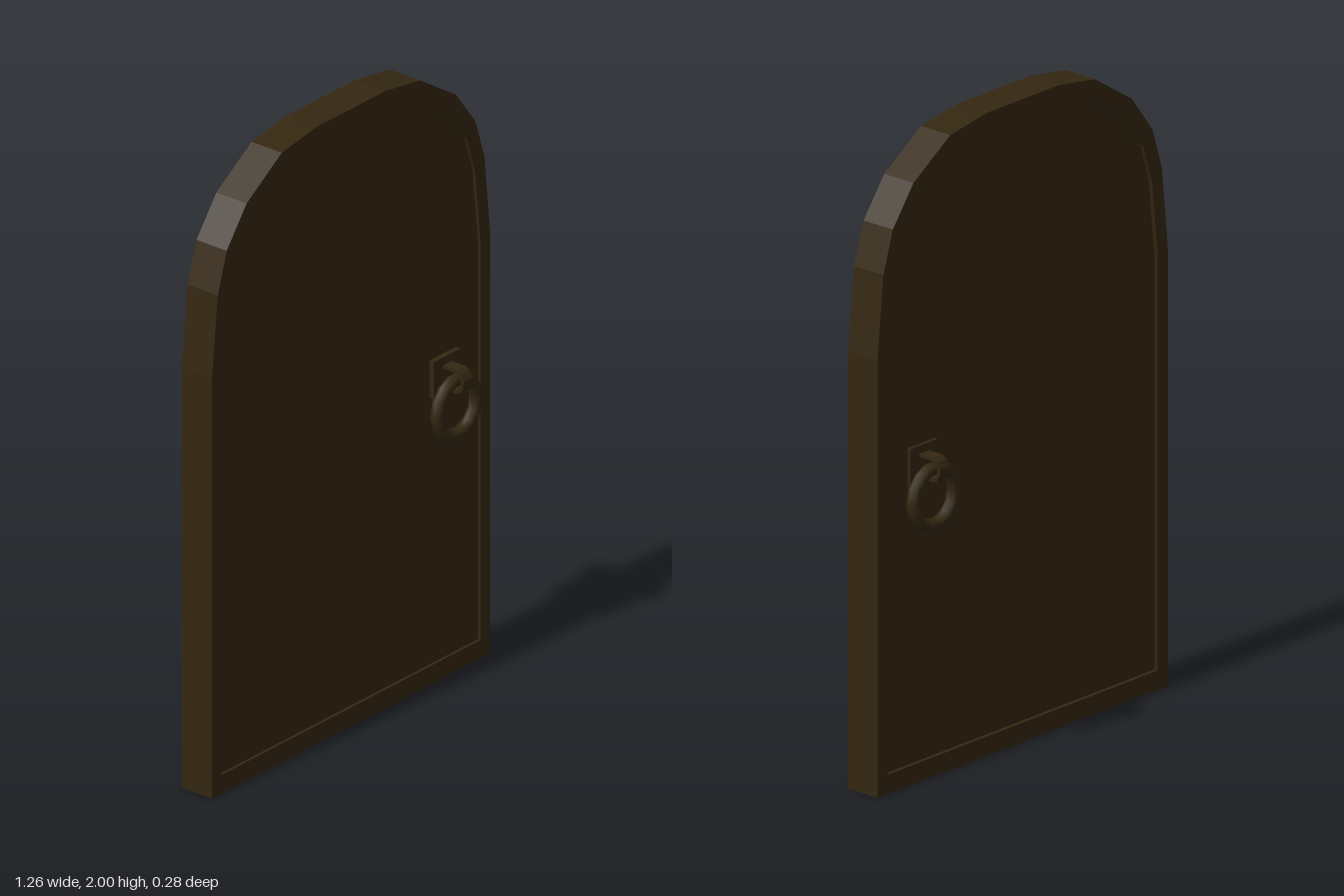
import * as THREE from 'three';

// Right half of an arched outline, mirrored to the left
function archShape(half, Type = THREE.Shape) {
  const right = half.map(([x, y]) => new THREE.Vector2(x, y));
  const left = half.map(([x, y]) => new THREE.Vector2(-x, y)).reverse();
  return new Type([...right, ...left]);
}

function slab(shape, z0, z1) {
  const g = new THREE.ExtrudeGeometry(shape, { depth: z1 - z0, bevelEnabled: false });
  return g.translate(0, 0, z0);
}

export function createModel() {
  const model = new THREE.Group();
  model.name = 'archedDoor';
  const wood = new THREE.MeshStandardMaterial({ color: 0x342711 });
  wood.name = 'darkBrown';

  const add = (parent, name, geometry) => {
    const mesh = new THREE.Mesh(geometry, wood);
    mesh.name = name;
    parent.add(mesh);
    return mesh;
  };

  const outer = [[0.632, 0], [0.632, 1.36], [0.606, 1.62], [0.565, 1.75],
    [0.475, 1.87], [0.315, 1.975], [0.157, 2]];
  const inner = [[0.588, 0.06], [0.588, 1.35], [0.563, 1.59], [0.525, 1.71],
    [0.44, 1.82], [0.297, 1.912], [0.15, 1.932]];

  // Raised border around a recessed panel
  const border = archShape(outer);
  border.holes.push(archShape(inner, THREE.Path));
  add(model, 'doorFrame', slab(border, -0.065, 0.05));
  add(model, 'doorPanel', slab(archShape(inner), -0.052, 0.04));

  // Bent strap profile: outward distance, height
  const strapProfile = new THREE.Shape([
    [0, 0.04], [0.062, 0.04], [0.077, 0.03], [0.087, 0.01], [0.087, -0.01],
    [0.076, -0.03], [0.06, -0.037], [0.035, -0.037], [0, -0.03],
    [0, -0.02], [0.035, -0.027], [0.058, -0.027], [0.068, -0.022],
    [0.077, -0.006], [0.077, 0.008], [0.07, 0.023], [0.058, 0.03], [0, 0.03],
  ].map(([x, y]) => new THREE.Vector2(x, y)));

  // Ring pull with backing plate and strap, one on each side
  for (const side of [1, -1]) {
    const handle = new THREE.Group();
    handle.name = side > 0 ? 'frontHandle' : 'backHandle';
    handle.position.set(0.427, 0.98, side > 0 ? 0.05 : -0.056);
    handle.rotation.y = side > 0 ? 0 : Math.PI;
    model.add(handle);

    add(handle, 'handlePlate', new THREE.BoxGeometry(0.12, 0.12, 0.028).translate(0, 0.005, -0.006));
    add(handle, 'handleStrap', slab(strapProfile, -0.02, 0.02).rotateY(-Math.PI / 2));
    add(handle, 'handleRing', new THREE.TorusGeometry(0.089, 0.02, 8, 14).translate(0, -0.09, 0.043));
  }
  return model;
}
